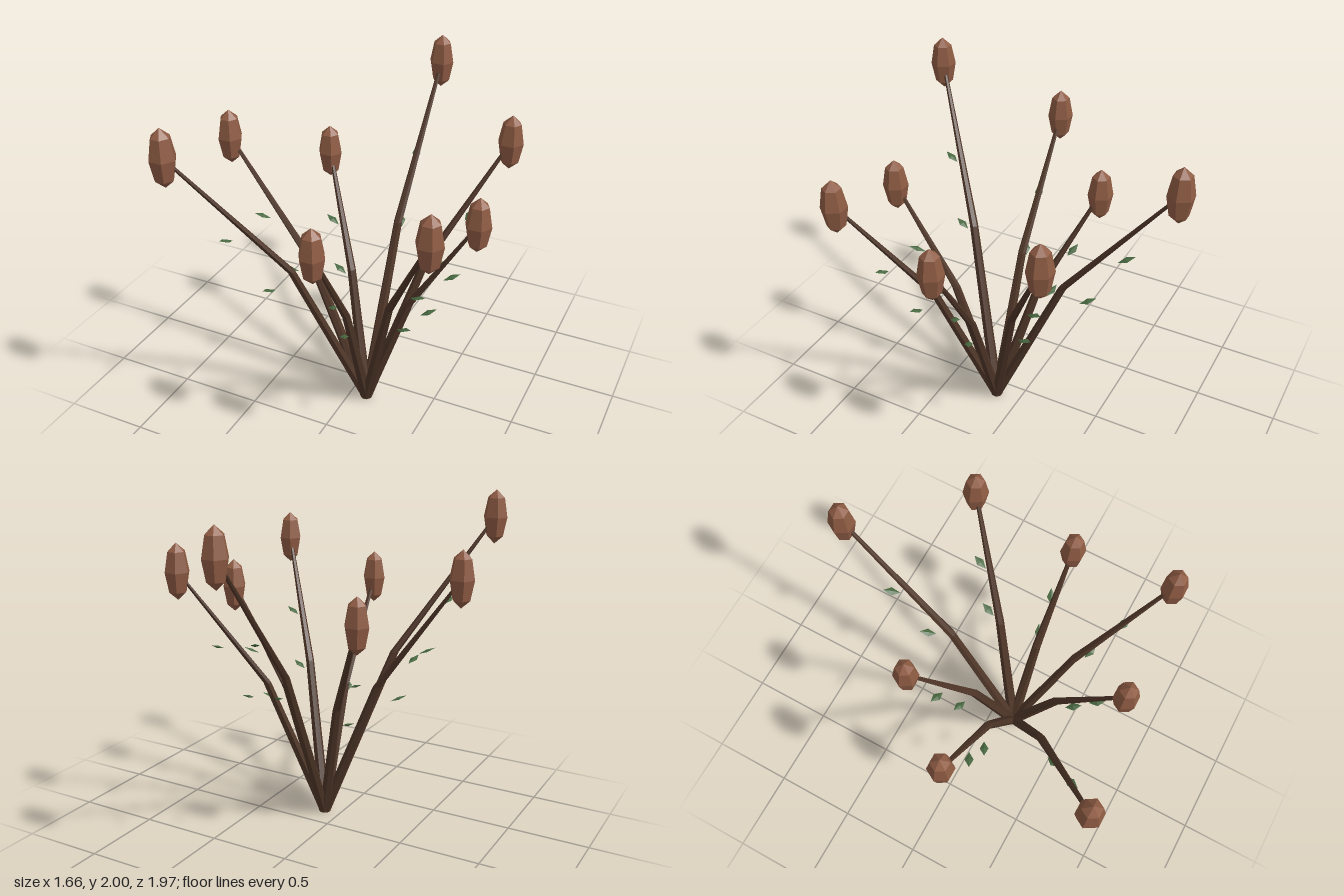
import * as THREE from 'three';

const material = (name, color) => {
  const m = new THREE.MeshStandardMaterial({ color, flatShading: true });
  m.name = name;
  return m;
};

// One bent, tapering stem leaning along +x, with level rings
function stemGeometry(reach, height) {
  const rings = [
    { x: 0, y: 0, r: 0.036 },
    { x: 0.415 * reach, y: 0.56 * height, r: 0.026 },
    { x: reach, y: height, r: 0.011 },
  ];
  const geo = new THREE.CylinderGeometry(1, 1, 2, 6, 2);
  const p = geo.attributes.position;
  for (let i = 0; i < p.count; i++) {
    const ring = rings[Math.round(p.getY(i)) + 1];
    p.setXYZ(i, ring.x + p.getX(i) * ring.r, ring.y, p.getZ(i) * ring.r);
  }
  geo.computeVertexNormals();
  return geo;
}

export function createModel() {
  const bark = material('bark brown', 0x4f3628);
  const leafGreen = material('leaf green', 0x486840);
  const podBrown = material('pod brown', 0x8f5c44);

  const model = new THREE.Group();
  model.name = 'podPlant';
  const plant = new THREE.Group();
  plant.name = 'stemCluster';
  plant.position.set(0.105, 0, 0.155);
  model.add(plant);

  // Three stem sizes: how far the tip leans out, and its height
  const sizes = [
    { reach: 0.65, height: 1.4 },
    { reach: 0.865, height: 1.61 },
    { reach: 1.08, height: 1.835 },
  ];
  const order = [0, 1, 0, 2, 1, 0, 2, 1];

  const podGeo = new THREE.SphereGeometry(0.075, 6, 4).scale(1, 2.2, 1);
  const leafGeo = new THREE.OctahedronGeometry(1).scale(0.052, 0.008, 0.026);

  order.forEach((size, i) => {
    const { reach, height } = sizes[size];
    const angle = (i * Math.PI) / 4;
    const branch = new THREE.Group();
    branch.name = 'branch';
    branch.rotation.y = -angle;
    plant.add(branch);

    const stem = new THREE.Mesh(stemGeometry(reach, height), bark);
    stem.name = 'stem';
    branch.add(stem);

    // Two leaves beside each stem
    for (const t of [0.5, 0.7]) {
      const leaf = new THREE.Mesh(leafGeo, leafGreen);
      leaf.name = 'leaf';
      leaf.position.set(t * reach + 0.05, (t + 0.02) * height, -0.038);
      leaf.rotation.set(0, 0.5, 0.38, 'YZX');
      branch.add(leaf);
    }

    // Upright seed pod on the tip
    const pod = new THREE.Mesh(podGeo, podBrown);
    pod.name = 'seedPod';
    pod.position.set(reach * Math.cos(angle), height, reach * Math.sin(angle));
    plant.add(pod);
  });

  return model;
}
